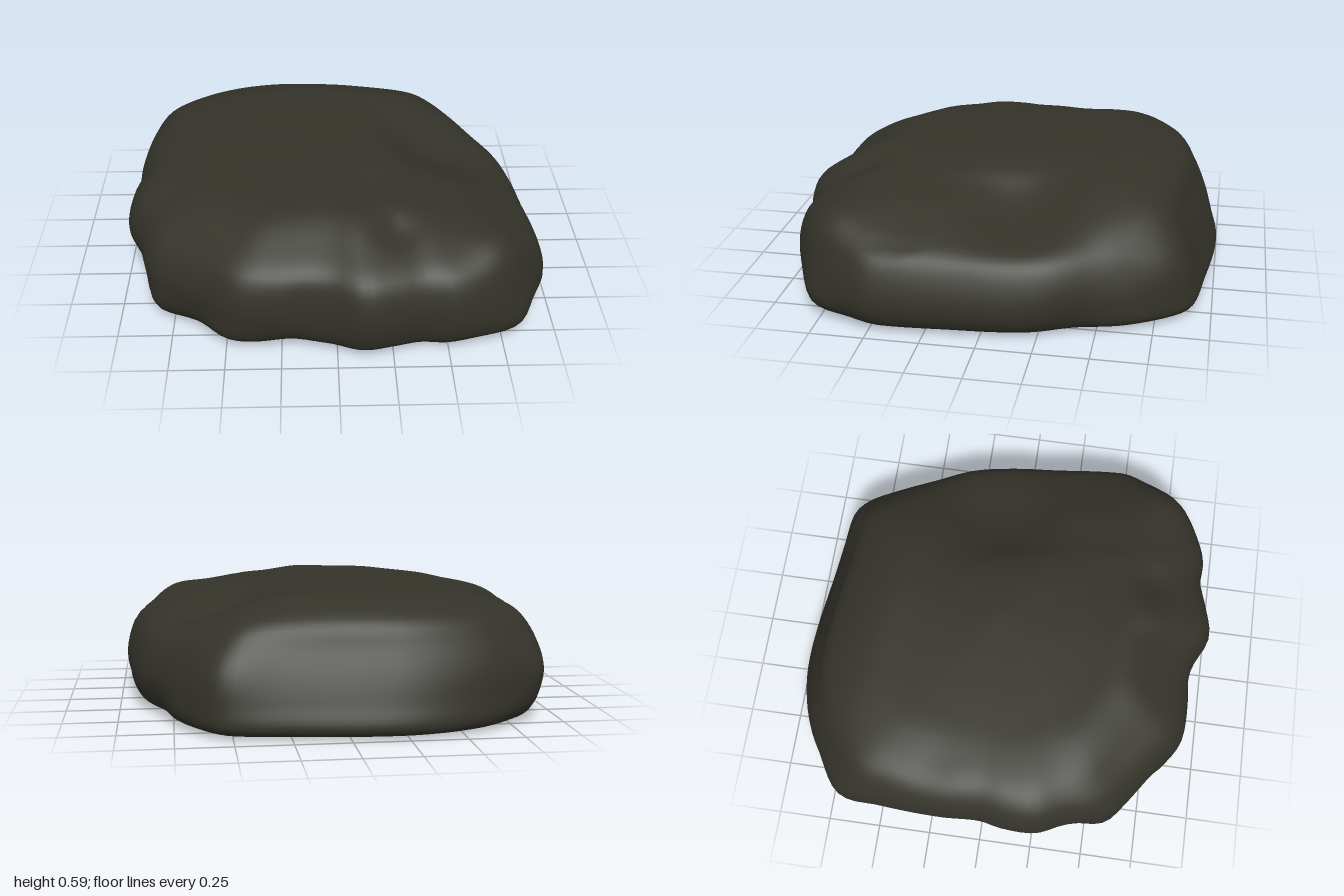
import * as THREE from 'three';
import { mergeVertices } from 'three/addons/utils/BufferGeometryUtils.js';

const AROUND = 144, ROWS = 56;

// Widest outline seen from above (x, z), running back, left, front, right
const OUTLINE = [
  [-0.31, -1], [0.25, -0.96], [0.54, -0.915], [0.62, -0.85], [0.74, -0.68], [0.82, -0.51],
  [0.9, -0.32], [0.94, -0.1], [0.96, 0.15], [0.98, 0.4], [0.975, 0.52], [0.9, 0.66],
  [0.79, 0.8], [0.68, 0.88], [0.53, 0.94], [0.4, 0.935], [0.27, 0.97], [0.12, 1],
  [-0.04, 0.945], [-0.28, 0.93], [-0.45, 0.905], [-0.6, 0.8], [-0.84, 0.62], [-0.92, 0.4],
  [-0.98, 0.27], [-0.98, 0.1], [-0.96, 0], [-0.97, -0.2], [-0.96, -0.5], [-0.93, -0.66],
  [-0.81, -0.8], [-0.63, -0.92],
];

// Side profiles from base centre to top centre: (fraction of outline, height)
const PROFILES = {
  left: [[0, 0], [0.5, 0.007], [0.925, 0.018], [0.972, 0.055], [1, 0.14], [0.975, 0.26], [0.915, 0.36],
    [0.78, 0.43], [0.6, 0.49], [0.42, 0.535], [0.28, 0.58], [0, 0.587]],
  front: [[0, 0], [0.5, 0.007], [0.88, 0.018], [0.95, 0.06], [0.985, 0.14], [1, 0.26], [0.96, 0.39],
    [0.82, 0.49], [0.64, 0.575], [0.45, 0.575], [0.25, 0.58], [0, 0.587]],
  right: [[0, 0], [0.5, 0.007], [0.88, 0.018], [0.92, 0.08], [0.965, 0.17], [1, 0.28], [0.965, 0.41],
    [0.88, 0.49], [0.7, 0.54], [0.5, 0.56], [0.25, 0.575], [0, 0.587]],
  back: [[0, 0], [0.5, 0.007], [0.975, 0.018], [1, 0.05], [0.97, 0.15], [0.93, 0.26], [0.88, 0.37],
    [0.82, 0.49], [0.62, 0.578], [0.42, 0.58], [0.25, 0.58], [0, 0.587]],
};

// The top steps down towards the left side: (x, greatest height)
const CEILING = [[0.28, 0.59], [0.4, 0.543], [0.6, 0.503], [0.8, 0.42], [0.9, 0.365], [1, 0.25]];

// Worn hollows and bulges: centre, radius, push
const DENTS = [
  { at: [0.53, 0.5, -0.13], r: 0.26, push: [0, -0.075, 0] },
  { at: [0.27, 0.54, 0.68], r: 0.1, push: [0, -0.03, 0] },
  { at: [-0.12, 0.27, 0.94], r: 0.13, push: [0, 0, -0.02] },
  { at: [-0.2, 0.03, 0.85], r: 0.1, push: [0, 0, -0.03] },
  { at: [-0.72, 0.44, 0.6], r: 0.18, push: [0.02, -0.01, -0.025] },
  { at: [-0.52, 0.03, 0.8], r: 0.13, push: [-0.02, 0, 0.04] },
  { at: [-0.8, 0.03, 0.55], r: 0.15, push: [-0.05, 0, 0.04] },
  { at: [-0.8, 0.52, -0.25], r: 0.12, push: [0, -0.01, 0] },
  { at: [-0.87, 0.18, -0.7], r: 0.14, push: [-0.03, 0, -0.02] },
  { at: [0.6, 0.3, -0.82], r: 0.17, push: [0.02, 0, -0.035] },
  { at: [0.85, 0.03, -0.4], r: 0.15, push: [-0.03, 0, 0.01] },
  { at: [0.7, 0.4, 0.68], r: 0.17, push: [0.02, 0.055, 0.02] },
  { at: [0.77, 0.04, 0.74], r: 0.15, push: [0.05, 0, 0.03] },
];

const smoothPath = (points, closed = false) => new THREE.CatmullRomCurve3(
  points.map(([a, b]) => new THREE.Vector3(a, b, 0)), closed, 'centripetal');

function ceilingAt(x) {
  const k = CEILING.findIndex(([cx]) => cx > x);
  if (k === 0) return CEILING[0][1];
  const [x0, y0] = CEILING[k - 1], [x1, y1] = CEILING[k];
  return THREE.MathUtils.mapLinear(x, x0, x1, y0, y1);
}

function applyDents(p) {
  const start = p.clone();
  for (const { at, r, push } of DENTS) {
    const d = start.distanceTo(new THREE.Vector3(...at)) / r;
    p.addScaledVector(new THREE.Vector3(...push), Math.exp(-d * d));
  }
  p.y = Math.max(p.y, 0);
}

function rockGeometry() {
  const rim = smoothPath(OUTLINE, true).getSpacedPoints(AROUND);
  const sides = {};
  for (const name in PROFILES) sides[name] = smoothPath(PROFILES[name]).getPoints(ROWS);

  const positions = [], index = [];
  for (let j = 0; j <= ROWS; j++) {
    for (let i = 0; i < AROUND; i++) {
      // Blend the two neighbouring profiles according to direction
      const { x, y: z } = rim[i];
      const wx = (x * x) / (x * x + z * z);
      const px = sides[x > 0 ? 'left' : 'right'][j];
      const pz = sides[z > 0 ? 'front' : 'back'][j];
      const s = THREE.MathUtils.lerp(pz.x, px.x, wx);
      const y = THREE.MathUtils.lerp(pz.y, px.y, wx);
      const p = new THREE.Vector3(x * s, Math.min(y, ceilingAt(x * s)), z * s);
      applyDents(p);
      positions.push(p.x, p.y, p.z);

      // The first and last rows shrink to a point, so they need one triangle each
      const a = j * AROUND + i, b = j * AROUND + (i + 1) % AROUND;
      const c = a + AROUND, d = b + AROUND;
      if (j > 0 && j < ROWS) index.push(a, c, b);
      if (j < ROWS - 1) index.push(b, c, d);
    }
  }
  const geometry = new THREE.BufferGeometry();
  geometry.setAttribute('position', new THREE.Float32BufferAttribute(positions, 3));
  geometry.setIndex(index);
  const merged = mergeVertices(geometry, 1e-5);
  merged.computeVertexNormals();
  return merged;
}

export function createModel() {
  const stone = new THREE.MeshStandardMaterial({ color: 0x34332a });
  stone.name = 'dark stone';
  const rock = new THREE.Mesh(rockGeometry(), stone);
  rock.name = 'rock';
  const group = new THREE.Group();
  group.name = 'flat boulder';
  group.add(rock);
  return group;
}
